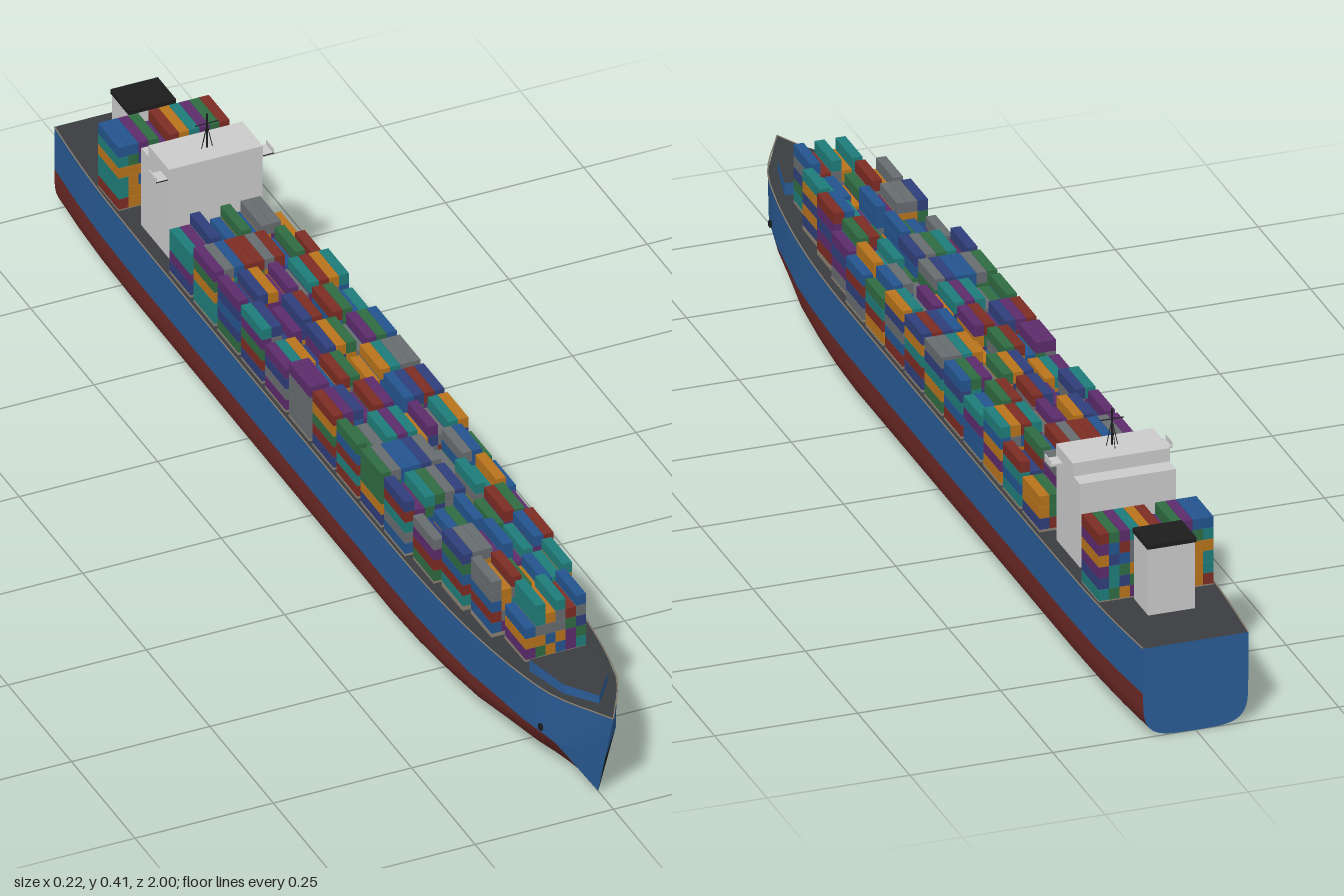
import * as THREE from 'three';
import { mergeGeometries, toCreasedNormals } from 'three/addons/utils/BufferGeometryUtils.js';

const WATER = 0.08; // height of the paint line
// hull stations: z, half width at deck, deck height, fullness of the bilge
const STATIONS = [
  [-1, 0.092, 0.163, 4], [-0.9, 0.1, 0.163, 4], [-0.8, 0.105, 0.163, 4], [-0.68, 0.107, 0.163, 4],
  [0.35, 0.107, 0.163, 4], [0.45, 0.106, 0.163, 3.5], [0.55, 0.102, 0.163, 2.9], [0.64, 0.096, 0.164, 2.4],
  [0.72, 0.088, 0.166, 1.9], [0.8, 0.077, 0.169, 1.5], [0.89, 0.057, 0.173, 1],
];
const BOW = [1, 0, 0.178, 1];

const material = (color, side = THREE.FrontSide) =>
  new THREE.MeshStandardMaterial({ color, side });
const blue = material(0x2a5c96, THREE.DoubleSide);
const red = material(0x6e2a26, THREE.DoubleSide);
const dark = material(0x3a3d40, THREE.DoubleSide);
const black = material(0x1c1d1e, THREE.DoubleSide);
const grey = material(0xcccccc);
const trim = material(0x8a8070);

function seeded(seed) {
  return () => (seed = (seed * 16807) % 2147483647) / 2147483647;
}

// Skin between rows of points, each row one cross-section
function loft(rows) {
  const n = rows[0].length, index = [];
  for (let i = 0; i < rows.length - 1; i++) {
    for (let j = 0; j < n - 1; j++) {
      const a = i * n + j, b = a + n;
      index.push(a, a + 1, b, a + 1, b + 1, b);
    }
  }
  const geometry = new THREE.BufferGeometry();
  geometry.setAttribute('position', new THREE.Float32BufferAttribute(rows.flat(2), 3));
  geometry.setIndex(index);
  return toCreasedNormals(geometry, 0.5);
}

function triangle(...corners) {
  const geometry = new THREE.BufferGeometry();
  geometry.setAttribute('position', new THREE.Float32BufferAttribute(corners.flat(), 3));
  geometry.computeVertexNormals();
  return geometry;
}

// Underwater section from -x round the keel to +x
function bottomSection([z, w, , n]) {
  const wl = z > 0.7 ? w * 0.96 : w, points = [];
  for (let j = -12; j <= 12; j++) {
    const t = (Math.abs(j) / 12) * Math.PI / 2;
    const x = j === 0 ? 0 : Math.sign(j) * wl * Math.sin(t) ** (2 / n);
    const y = Math.abs(j) === 12 ? WATER : WATER * (1 - Math.cos(t) ** (2 / n));
    points.push([x, y, z]);
  }
  return points;
}

export function createModel() {
  const ship = new THREE.Group();
  ship.name = 'containerShip';
  const add = (name, geometry, mat, parent = ship) => {
    const mesh = new THREE.Mesh(geometry, mat);
    mesh.name = name;
    parent.add(mesh);
    return mesh;
  };
  const box = (name, size, pos, mat, parent) => {
    const mesh = add(name, new THREE.BoxGeometry(...size), mat, parent);
    mesh.position.set(...pos);
    return mesh;
  };
  const rod = (name, from, to, r, parent) => add(name, new THREE.TubeGeometry(
    new THREE.LineCurve3(new THREE.Vector3(...from), new THREE.Vector3(...to)), 1, r, 6), black, parent);

  // Hull
  const hull = new THREE.Group();
  hull.name = 'hull';
  ship.add(hull);
  const sections = STATIONS.map(bottomSection);
  add('hullBottom', loft(sections), red, hull);
  for (const s of [-1, 1]) {
    const side = STATIONS.map(([z, w, y], i) => [[s * sections[i][24][0], WATER, z], [s * w, y, z]]);
    side.push([[0, WATER, 0.967], [0, BOW[2], 1]]);
    add('hullSide', loft(s < 0 ? side.map(r => r.reverse()) : side), blue, hull);

    // Raked bow below the paint line
    const edge = [s * sections.at(-1)[24][0], WATER, 0.89], foot = [0, 0, 0.94];
    const order = (a, b, c) => (s > 0 ? triangle(a, b, c) : triangle(a, c, b));
    add('bowKeel', order([0, 0, 0.89], edge, foot), red, hull);
    add('bowPlate', order(edge, [0, WATER, 0.967], foot), s > 0 ? black : blue, hull);

    // Gunwale trim and anchor
    const rail = [...STATIONS, BOW].map(([z, w, y]) => new THREE.Vector3(s * w, y, z));
    add('gunwale', new THREE.TubeGeometry(
      new THREE.CatmullRomCurve3(rail, false, 'centripetal'), 60, 0.0013, 5), trim, hull);
    box('anchor', [0.005, 0.01, 0.008], [s * 0.065, 0.093, 0.855], black, hull);
  }
  const outline = sections[0].map(([x, y]) => new THREE.Vector2(x, y));
  outline.push(new THREE.Vector2(0.092, 0.163), new THREE.Vector2(-0.092, 0.163));
  const transom = add('transom', new THREE.ShapeGeometry(new THREE.Shape(outline)), blue, hull);
  transom.rotation.y = Math.PI;
  transom.position.z = -1;
  add('deck', loft([...STATIONS, BOW].map(([z, w, y]) => [[w, y, z], [-w, y, z]])), dark, hull);

  // Raised forecastle with a dark top
  const plan = new THREE.Shape([[-0.06, 0.8], [-0.04, 0.89], [0, 0.945], [0.04, 0.89], [0.06, 0.8]]
    .map(([x, z]) => new THREE.Vector2(x, -z)));
  const forecastle = add('forecastle', new THREE.ExtrudeGeometry(plan,
    { depth: 0.025, bevelEnabled: false }), [dark, blue]);
  forecastle.rotation.x = -Math.PI / 2;
  forecastle.position.y = 0.166;

  // Containers, merged by colour
  const colors = [0x7d2c24, 0x24558f, 0x2f6b42, 0xb8741c, 0x1f7d7a, 0x5c2c6c, 0x676c70, 0x2f3f7a];
  const stacks = colors.map(() => []);
  const random = seeded(4217);
  const W = 0.0183, H = 0.0204, L = 0.082;
  const bays = [];
  for (let i = 0; i < 14; i++) {
    bays.push({ z: 0.732 - i * 0.0938, columns: [6, 8, 9, 10][i] ?? 11, tiers: 5, base: i < 3 ? 0.172 : 0.167 });
  }
  bays.push({ z: -0.77, columns: 11, tiers: 6, base: 0.165 });
  for (const { z, columns, tiers, base } of bays) {
    box('hatchCover', [columns * W, base - 0.16, L], [0, (base + 0.16) / 2, z], trim);
    for (let c = 0; c < columns; c++) {
      const r = random();
      const height = tiers - (r < 0.12 ? 2 : r < 0.4 ? 1 : 0);
      for (let t = 0; t < height; t++) {
        const geometry = new THREE.BoxGeometry(W * 0.96, H * 0.97, L);
        geometry.translate((c - (columns - 1) / 2) * W, base + (t + 0.5) * H, z);
        stacks[Math.floor(random() * colors.length)].push(geometry);
      }
    }
  }
  const cargo = new THREE.Group();
  cargo.name = 'containers';
  ship.add(cargo);
  stacks.forEach((list, i) => add('containerSet', mergeGeometries(list), material(colors[i]), cargo));

  // Deckhouse, bridge and wings
  const house = new THREE.Group();
  house.name = 'deckhouse';
  ship.add(house);
  box('accommodation', [0.168, 0.152, 0.111], [0, 0.239, -0.6205], grey, house);
  box('bridge', [0.17, 0.025, 0.08], [0, 0.3265, -0.605], grey, house);
  box('bridgeWings', [0.214, 0.004, 0.028], [0, 0.316, -0.583], grey, house);
  for (const s of [-1, 1]) {
    box('wingScreen', [0.002, 0.009, 0.028], [s * 0.106, 0.3215, -0.583], grey, house);
    rod('wingRail', [s * 0.085, 0.317, -0.569], [s * 0.107, 0.317, -0.569], 0.001, house);
    rod('mastStay', [s * 0.01, 0.338, -0.6], [0, 0.384, -0.6], 0.0007, house);
  }

  // Mast
  rod('mast', [0, 0.338, -0.6], [0, 0.405, -0.6], 0.0015, house);
  rod('mastYard', [-0.021, 0.386, -0.6], [0.021, 0.386, -0.6], 0.001, house);
  rod('mastBackStay', [0, 0.338, -0.615], [0, 0.384, -0.6], 0.0007, house);

  // Funnel
  box('funnelCasing', [0.082, 0.124, 0.068], [0, 0.223, -0.851], grey);
  box('funnelCap', [0.086, 0.008, 0.072], [0, 0.288, -0.851], black);

  return ship;
}
